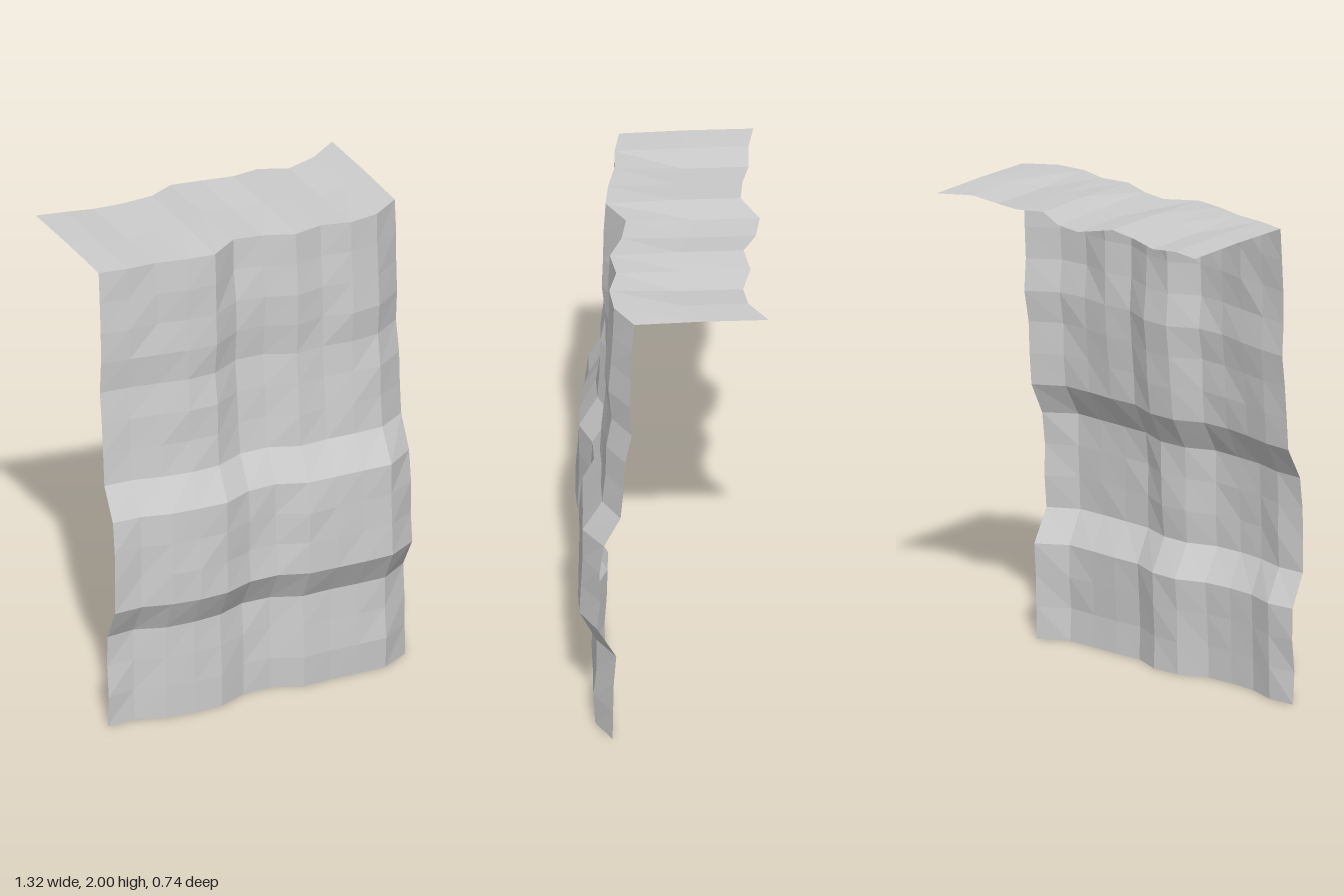
import * as THREE from 'three';

const WIDTH = 1.32, COLS = 11, ROWS = 15, TOP = 1.99;

// Depth of the folds across the width, at the top and lower down
const upperFold = [0.155, 0.178, 0.185, 0.215, 0.23, 0.155, 0.178, 0.23, 0.21, 0.243, 0.23, 0.155];
const lowerFold = [0.165, 0.16, 0.2, 0.213, 0.212, 0.168, 0.168, 0.225, 0.224, 0.23, 0.236, 0.165];
// Extra depth of each row, from the foot up: two ledges with a bulge between
const ledge = [0.073, 0.072, 0.067, 0.063, 0.132, 0.128, 0.122, 0.115, 0.045, 0.035, 0.026, 0.01, 0.02, 0.016, 0.006, 0];
const backEdge = [-0.375, -0.35, -0.345, -0.315, -0.303, -0.373, -0.352, -0.298, -0.32, -0.285, -0.3, -0.375];

// Small repeatable roughness between -1 and 1
function rough(i, j) {
  const s = Math.sin(i * 127.1 + j * 311.7) * 43758.5453;
  return (s - Math.floor(s)) * 2 - 1;
}

// Plane grid whose vertices are placed by a rule of column and row
function sheet(name, rows, place, material) {
  const geometry = new THREE.PlaneGeometry(1, 1, COLS, rows).toNonIndexed();
  const pos = geometry.attributes.position;
  for (let v = 0; v < pos.count; v++) {
    const i = Math.round((pos.getX(v) + 0.5) * COLS);
    const j = Math.round((pos.getY(v) + 0.5) * rows);
    pos.setXYZ(v, ...place(i, j));
  }
  geometry.computeVertexNormals();
  const mesh = new THREE.Mesh(geometry, material);
  mesh.name = name;
  return mesh;
}

export function createModel() {
  const group = new THREE.Group();
  group.name = 'cliff';
  const rock = new THREE.MeshStandardMaterial({ color: 0xcccccc, side: THREE.DoubleSide, flatShading: true });
  rock.name = 'rock grey';
  const xAt = (i) => (i / COLS - 0.5) * WIDTH;

  // Upright rock face
  group.add(sheet('cliffFace', ROWS, (i, j) => {
    const t = Math.min(1, (ROWS - j) / 9);
    const fold = THREE.MathUtils.lerp(upperFold[i], lowerFold[i], t);
    const bump = j === ROWS ? 0 : 0.006 * rough(i, j);
    return [xAt(i), (j / ROWS) * TOP, fold + ledge[j] + bump];
  }, rock));

  // Ground running back from the upper edge
  group.add(sheet('cliffTop', 2, (i, j) => {
    const z = THREE.MathUtils.lerp(upperFold[i], backEdge[i], j / 2);
    const y = j === 0 ? TOP : TOP + 0.01 * Math.cos((xAt(i) + 0.2) * 15.5);
    return [xAt(i), y, z];
  }, rock));

  return group;
}
